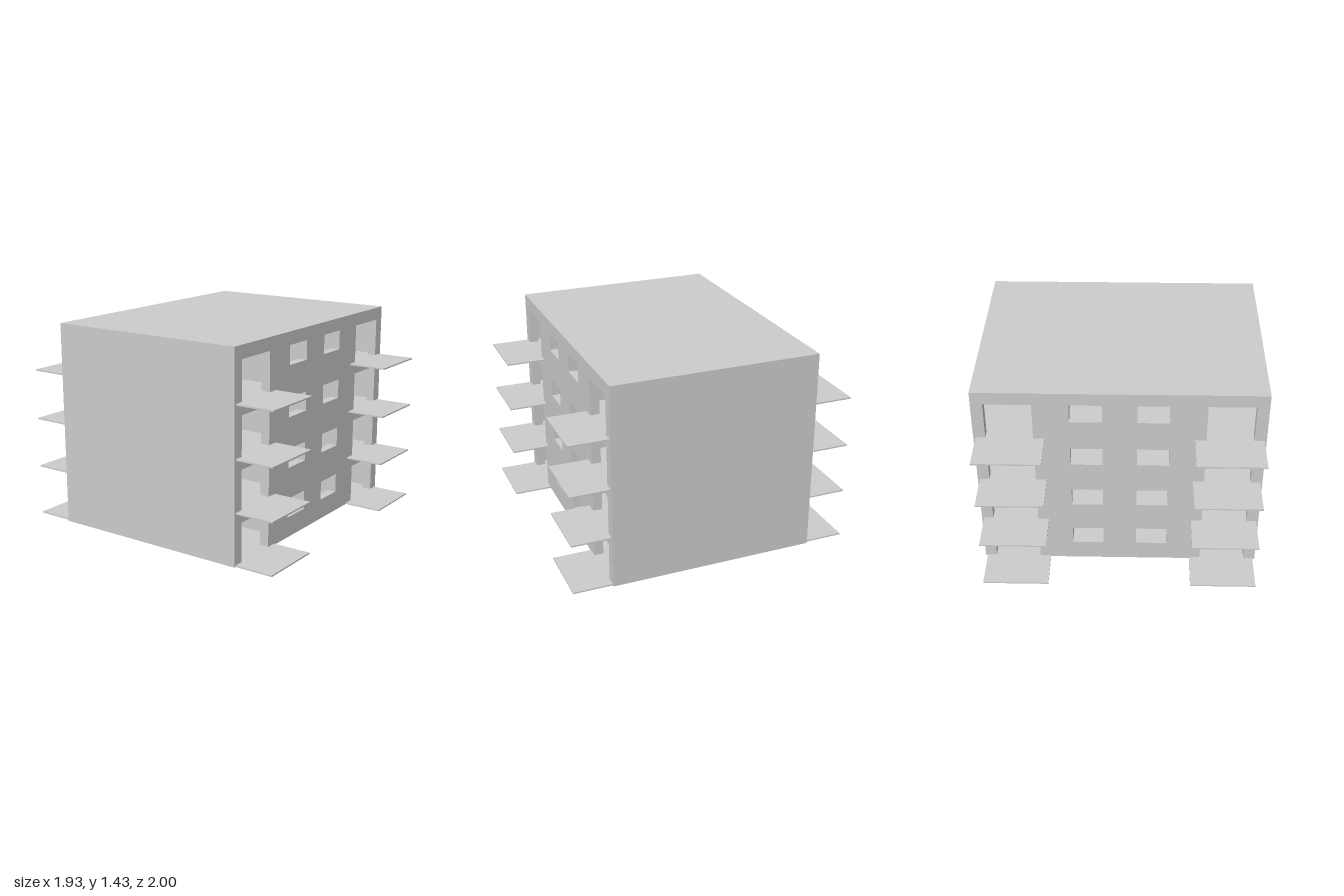
import * as THREE from 'three';

const FLOORS = 4, STOREY = 0.355, SLAB = 0.01;
const HALF_W = 0.965, HALF_D = 0.725, HEIGHT = 1.435;
const FACADE = 0.065, SIDE = 0.015;

export function createModel() {
  const group = new THREE.Group();
  const material = new THREE.MeshStandardMaterial({ color: 0xcccccc, flatShading: true });

  // Box given by its lower and upper corners
  function block(name, x0, x1, y0, y1, z0, z1) {
    const mesh = new THREE.Mesh(new THREE.BoxGeometry(x1 - x0, y1 - y0, z1 - z0), material);
    mesh.position.set((x0 + x1) / 2, (y0 + y1) / 2, (z0 + z1) / 2);
    mesh.name = name;
    group.add(mesh);
  }

  function rectangle(path, x0, x1, y0, y1) {
    path.moveTo(x0, y0);
    path.lineTo(x1, y0);
    path.lineTo(x1, y1);
    path.lineTo(x0, y1);
    path.closePath();
    return path;
  }

  // Facade with balcony doors at the ends and windows in the middle
  const shape = rectangle(new THREE.Shape(), -HALF_W, HALF_W, 0, HEIGHT);
  for (let i = 0; i < FLOORS; i++) {
    const y = i * STOREY;
    for (const [a, b, bottom] of [[0.57, 0.885, SLAB], [0.115, 0.33, 0.145]]) {
      shape.holes.push(rectangle(new THREE.Path(), a, b, y + bottom, y + 0.28));
      shape.holes.push(rectangle(new THREE.Path(), -b, -a, y + bottom, y + 0.28));
    }
  }
  const facade = new THREE.ExtrudeGeometry(shape, { depth: FACADE, bevelEnabled: false });
  for (const [name, z] of [['frontFacade', HALF_D - FACADE], ['backFacade', -HALF_D]]) {
    const mesh = new THREE.Mesh(facade, material);
    mesh.name = name;
    mesh.position.z = z;
    group.add(mesh);
  }

  const inner = HALF_D - FACADE;

  // Outer side walls and roof
  block('leftWall', HALF_W - SIDE, HALF_W, 0, HEIGHT, -inner, inner);
  block('rightWall', -HALF_W, -HALF_W + SIDE, 0, HEIGHT, -inner, inner);
  block('roof', -HALF_W + SIDE, HALF_W - SIDE, FLOORS * STOREY, HEIGHT, -inner, inner);

  for (let i = 0; i < FLOORS; i++) {
    const y = i * STOREY, floor = y + SLAB, ceiling = y + STOREY;

    // Dividing walls between the four flats
    block('crossWall', -0.8, 0.8, floor, ceiling, -0.01, 0.01);
    for (const s of [-1, 1]) {
      const z0 = s > 0 ? 0.01 : -inner, z1 = s > 0 ? inner : -0.01;
      block('spineWall', -0.01, 0.01, y, ceiling, z0, z1);

      for (const t of [-1, 1]) {
        const span = (a, b) => (t > 0 ? [a, b] : [-b, -a]);
        const depth = (a, b) => (s > 0 ? [a, b] : [-b, -a]);
        // Flat floor, balcony and room partition
        block('floorSlab', ...span(0.01, 0.95), y, floor, ...depth(0.006, inner));
        block('balcony', ...span(0.495, 0.95), y, floor, ...depth(HALF_D, 1));
        block('partition', ...span(0.35, 0.365), floor, ceiling, ...depth(0.32, inner));
      }
    }
  }
  return group;
}
